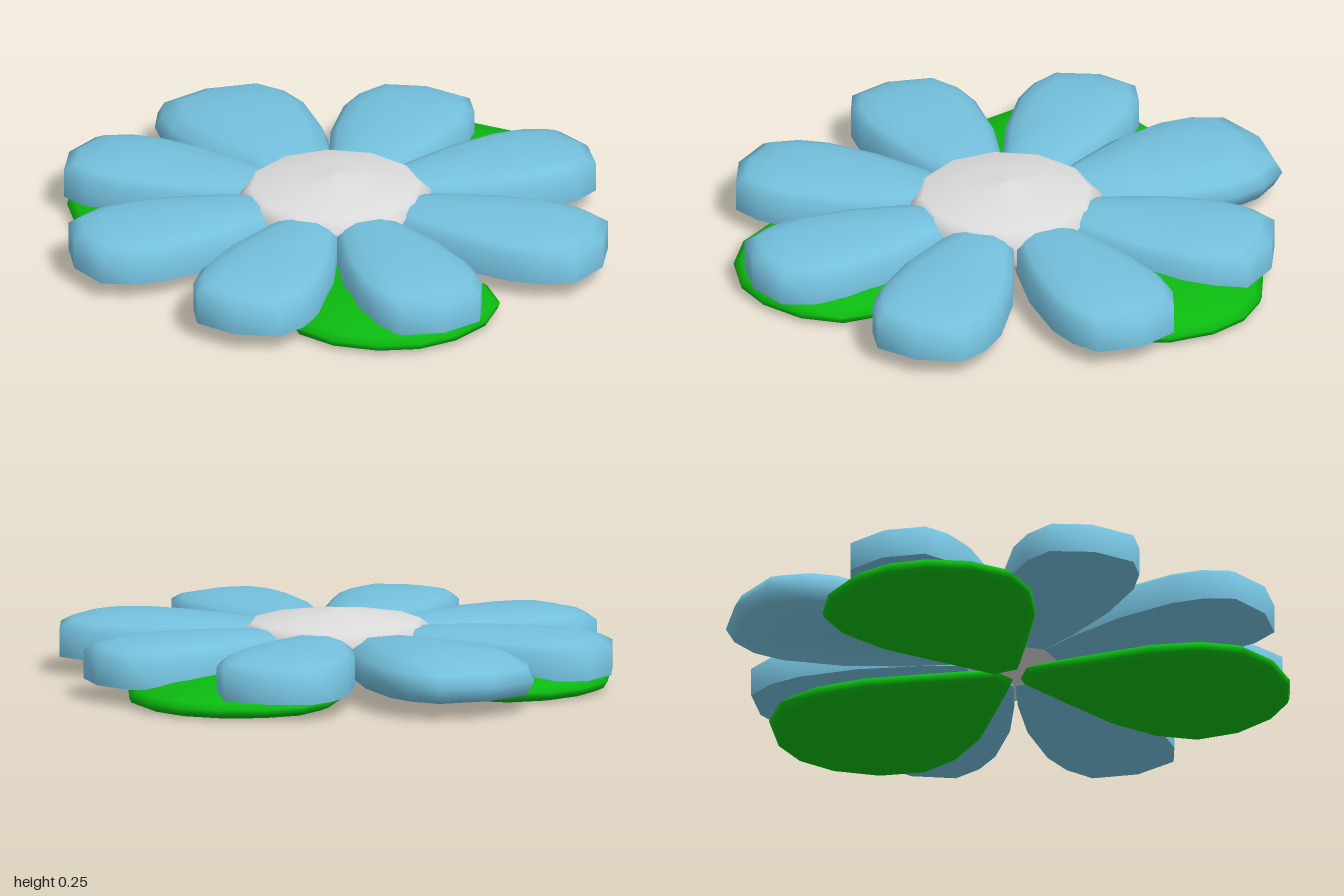
import * as THREE from 'three';
import { toCreasedNormals } from 'three/addons/utils/BufferGeometryUtils.js';

// Half outlines running outwards from the flower's middle: [distance, half width], both 0..1
const PETAL = [[0.16, 0.3], [0.31, 0.58], [0.52, 0.87], [0.74, 1], [0.86, 0.93], [0.96, 0.7]];
const LEAF = [[0.04, 0.12], [0.22, 0.45], [0.42, 0.8], [0.6, 0.98], [0.75, 0.98], [0.88, 0.75], [0.97, 0.38]];

// Height profiles from underside to top: [outline scale, y]
const PETAL_PROFILE = [[0, 0.06], [1, 0.06], [1, 0.16], [0.88, 0.182], [0.64, 0.2], [0.3, 0.206], [0, 0.207]];
const POINTED_PROFILE = [[0, 0.06], [0.92, 0.06], [1, 0.11], [0.93, 0.155], [0.72, 0.19], [0.35, 0.205], [0, 0.207]];
const LEAF_PROFILE = [[0, 0], [0.9, 0.003], [0.98, 0.015], [1, 0.035], [0.93, 0.055], [0.6, 0.08], [0, 0.1]];

// Stacks scaled copies of an outline pointing along +z, closed at both ends
function padGeometry(half, profile, length, halfWidth) {
  const right = half.map(([d, w]) => [w * halfWidth, d * length]);
  const left = right.map(([x, z]) => [-x, z]).reverse();
  const outline = [...right, [0, length], ...left];
  const middle = length * 0.64;
  const n = outline.length;
  const positions = [];
  const index = [];
  profile.forEach(([s, y], r) => {
    for (const [x, z] of outline) positions.push(x * s, y, middle + (z - middle) * s);
    if (r === 0) return;
    for (let i = 0; i < n; i++) {
      const j = (i + 1) % n;
      const lo = (r - 1) * n, up = r * n;
      if (s > 0) index.push(lo + i, up + i, up + j);
      if (profile[r - 1][0] > 0) index.push(lo + i, up + j, lo + j);
    }
  });
  const geometry = new THREE.BufferGeometry();
  geometry.setAttribute('position', new THREE.Float32BufferAttribute(positions, 3));
  geometry.setIndex(index);
  return toCreasedNormals(geometry, 1.35);
}

export function createModel() {
  const material = (name, color) => {
    const m = new THREE.MeshStandardMaterial({ color });
    m.name = name;
    return m;
  };
  const blue = material('petalBlue', 0x74c0dd);
  const green = material('leafGreen', 0x0cba10);
  const white = material('centreWhite', 0xdcdcdc);

  const flower = new THREE.Group();
  flower.name = 'flower';
  flower.position.z = 0.02;
  const add = (name, geometry, mat, degrees = 0) => {
    const mesh = new THREE.Mesh(geometry, mat);
    mesh.name = name;
    mesh.rotation.y = THREE.MathUtils.degToRad(degrees);
    flower.add(mesh);
  };

  // Petals: [angle from the front, length, half width, profile]
  [
    [3, 0.96, 0.21, PETAL_PROFILE],
    [49, 0.98, 0.22, PETAL_PROFILE],
    [96, 0.96, 0.21, PETAL_PROFILE],
    [140, 0.95, 0.225, PETAL_PROFILE],
    [186.5, 1.02, 0.27, POINTED_PROFILE],
    [228, 0.98, 0.205, PETAL_PROFILE],
    [272, 0.96, 0.215, PETAL_PROFILE],
    [319, 0.96, 0.215, PETAL_PROFILE],
  ].forEach(([angle, length, halfWidth, profile], i) => {
    add(`petal${i + 1}`, padGeometry(PETAL, profile, length, halfWidth), blue, angle);
  });

  // Leaves under the petals
  [[-2.5, 0.97], [122, 1.0], [228, 0.96]].forEach(([angle, length], i) => {
    add(`leaf${i + 1}`, padGeometry(LEAF, LEAF_PROFILE, length, 0.37), green, angle);
  });

  // Domed centre
  const dome = [[0, 0.065], [0.3, 0.065], [0.33, 0.1], [0.33, 0.175], [0.29, 0.205], [0.15, 0.227], [0, 0.247]];
  const centre = new THREE.LatheGeometry(dome.map(([x, y]) => new THREE.Vector2(x, y)), 12);
  add('flowerCentre', centre, white, 15);

  const model = new THREE.Group();
  model.add(flower);
  return model;
}
